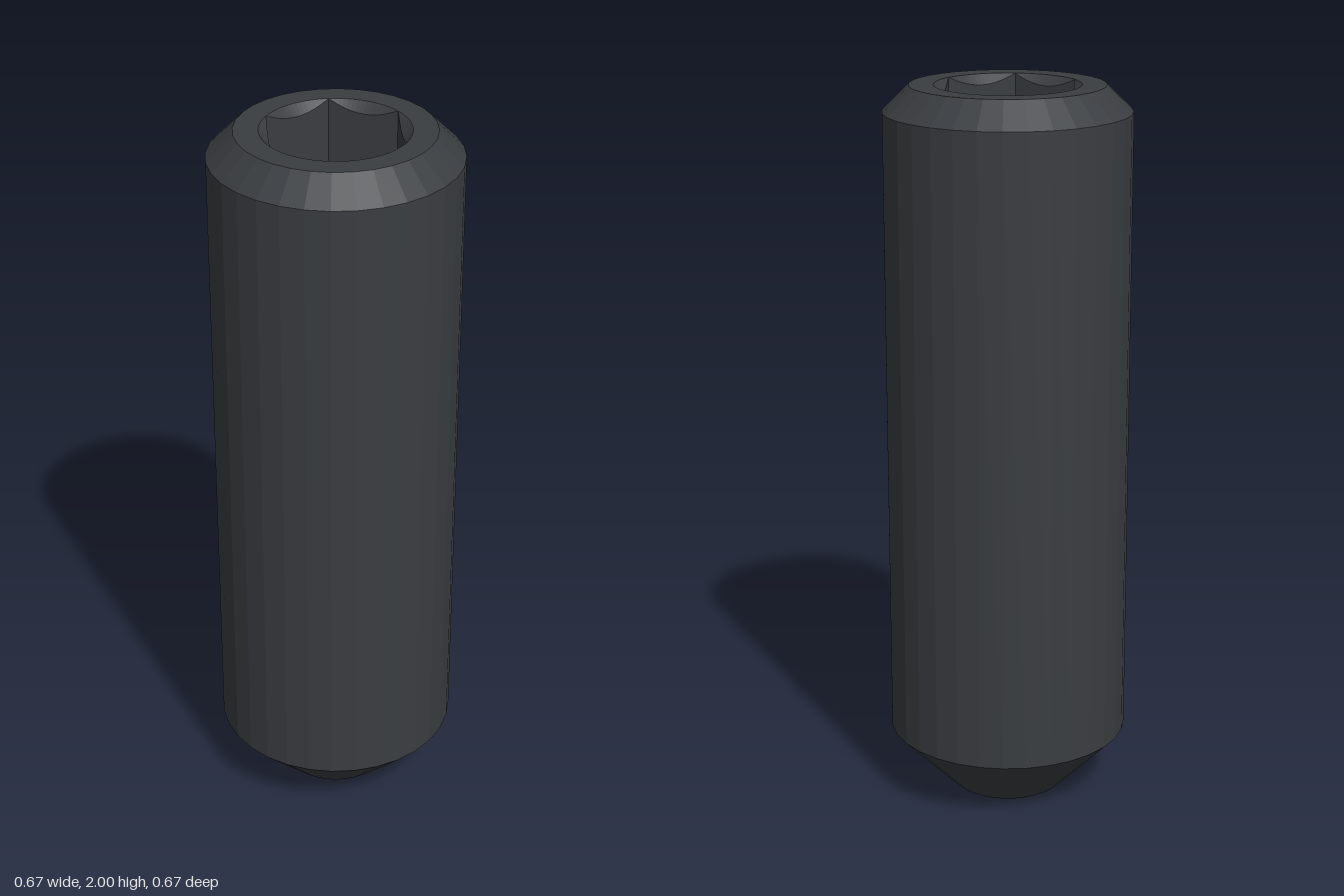
import * as THREE from 'three';

const SIDES = 32;          // facets of the turned body
const SOCKET_STEPS = 96;   // steps around the hex socket
const TOP = 2;
const RIM = 0.262, MOUTH = 0.196, APOTHEM = 0.17;
const SOCKET_FLOOR = 1.58;

const material = new THREE.MeshStandardMaterial({ color: 0x3a3d41, flatShading: true });

function addMesh(group, name, geometry) {
  const flat = geometry.index ? geometry.toNonIndexed() : geometry;
  flat.computeVertexNormals();
  const mesh = new THREE.Mesh(flat, material);
  mesh.name = name;
  group.add(mesh);
  return mesh;
}

// Points of a regular polygon inscribed in a circle
function circlePoints(radius, count) {
  return Array.from({ length: count }, (_, i) => {
    const a = (i / count) * Math.PI * 2;
    return new THREE.Vector2(Math.cos(a) * radius, Math.sin(a) * radius);
  });
}

// Distance from the axis to a hexagon wall, corners on the x axis
function hexRadius(angle) {
  const sector = Math.PI / 3;
  return APOTHEM / Math.cos((angle % sector) - sector / 2);
}

// Hex recess: conical lead-in scalloped by the flats, walls, flat floor
function socketGeometry() {
  const rings = [
    () => [MOUTH, TOP],
    (a) => [hexRadius(a), TOP - Math.max(0, MOUTH - hexRadius(a))],
    (a) => [hexRadius(a), SOCKET_FLOOR],
    () => [0, SOCKET_FLOOR],
  ];
  const positions = [], index = [];
  for (const ring of rings) {
    for (let i = 0; i < SOCKET_STEPS; i++) {
      const a = (i / SOCKET_STEPS) * Math.PI * 2;
      const [r, y] = ring(a);
      positions.push(Math.cos(a) * r, y, Math.sin(a) * r);
    }
  }
  for (let k = 0; k < rings.length - 1; k++) {
    for (let i = 0; i < SOCKET_STEPS; i++) {
      const j = (i + 1) % SOCKET_STEPS;
      const u0 = k * SOCKET_STEPS + i, u1 = k * SOCKET_STEPS + j;
      const l0 = u0 + SOCKET_STEPS, l1 = u1 + SOCKET_STEPS;
      index.push(u0, l0, u1);
      if (k < rings.length - 2) index.push(u1, l0, l1);
    }
  }
  const geometry = new THREE.BufferGeometry();
  geometry.setAttribute('position', new THREE.Float32BufferAttribute(positions, 3));
  geometry.setIndex(index);
  return geometry;
}

export function createModel() {
  const group = new THREE.Group();
  group.name = 'setScrew';

  // Turned body with conical tip and chamfered top
  const profile = [[0.156, 0], [0.333, 0.18], [0.333, 1.93], [RIM, TOP]];
  addMesh(group, 'body', new THREE.LatheGeometry(
    profile.map(([r, y]) => new THREE.Vector2(r, y)), SIDES));

  // Hollow cone in the tip
  addMesh(group, 'cupPoint', new THREE.LatheGeometry(
    [new THREE.Vector2(0, 0.09), new THREE.Vector2(0.156, 0)], SIDES));

  // Flat ring around the socket mouth
  const ring = new THREE.Shape(circlePoints(RIM, SIDES));
  ring.holes.push(new THREE.Path(circlePoints(MOUTH, SOCKET_STEPS)));
  addMesh(group, 'topFace', new THREE.ShapeGeometry(ring).rotateX(-Math.PI / 2).translate(0, TOP, 0));

  addMesh(group, 'hexSocket', socketGeometry());
  return group;
}
